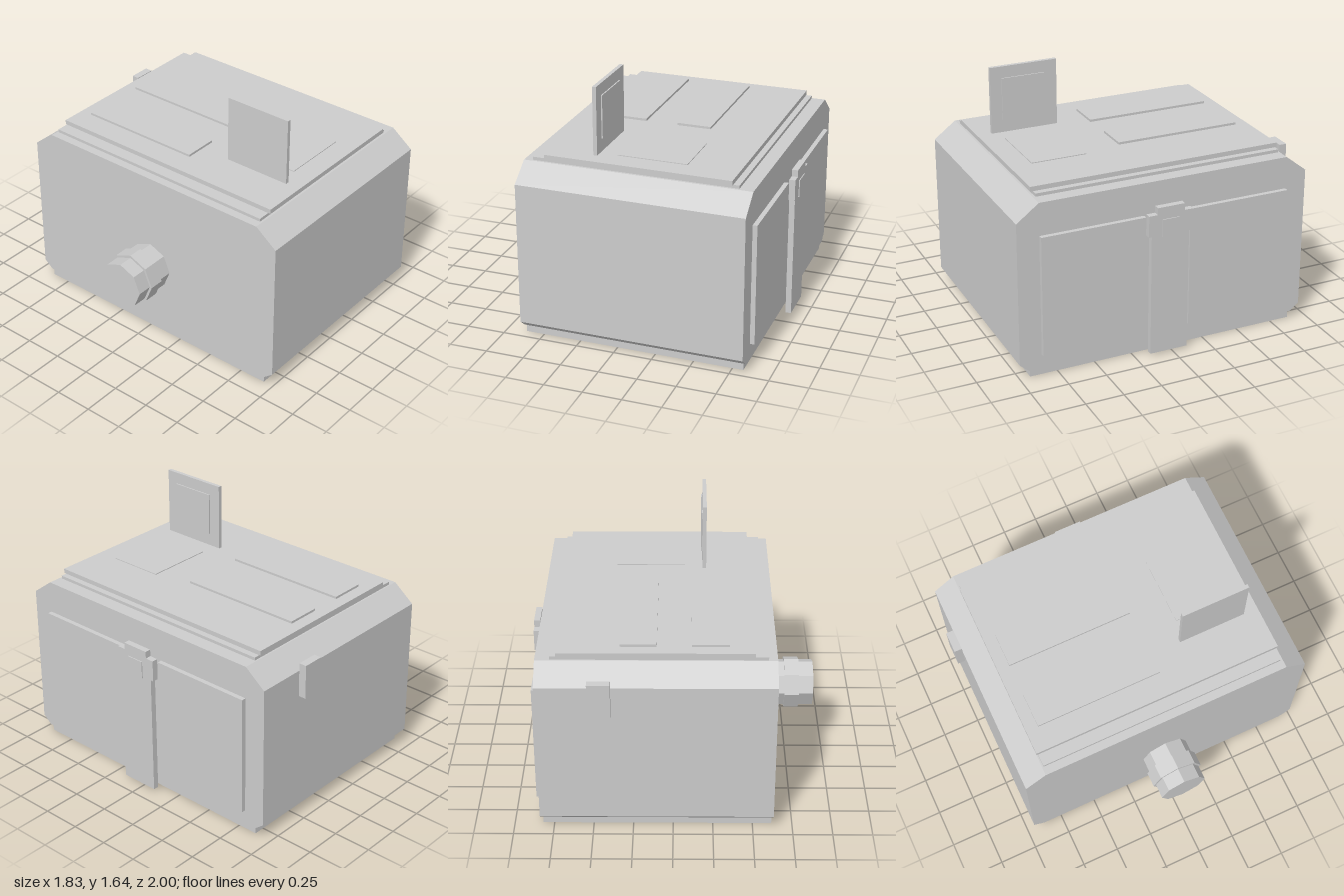
import * as THREE from 'three';

export function createModel() {
  const model = new THREE.Group();
  model.name = 'boxMachine';
  const grey = new THREE.MeshStandardMaterial({ color: 0xcccccc, flatShading: true });
  grey.name = 'light grey';

  const add = (name, geometry) => {
    const mesh = new THREE.Mesh(geometry, grey);
    mesh.name = name;
    model.add(mesh);
    return mesh;
  };
  // Box from its limits on each axis
  const box = (name, x0, x1, y0, y1, z0, z1) =>
    add(name, new THREE.BoxGeometry(x1 - x0, y1 - y0, z1 - z0))
      .position.set((x0 + x1) / 2, (y0 + y1) / 2, (z0 + z1) / 2);
  // Outline of [z, y] points extruded along x
  const sideExtrude = (name, points, x0, x1) => {
    const shape = new THREE.Shape(points.map(([z, y]) => new THREE.Vector2(-z, y)));
    const geometry = new THREE.ExtrudeGeometry(shape, { depth: x1 - x0, bevelEnabled: false });
    geometry.rotateY(Math.PI / 2);
    geometry.translate(x0, 0, 0);
    return add(name, geometry);
  };

  // Main housing with chamfered front and back edges, on a recessed base
  sideExtrude('housing', [
    [0.94, 0.05], [-0.89, 0.05], [-0.95, 0.1], [-0.95, 1.04],
    [-0.81, 1.15], [0.855, 1.15], [1, 1.04], [1, 0.1],
  ], -0.63, 0.835);
  box('base', -0.62, 0.82, 0, 0.05, -0.88, 0.93);

  // Stepped lid
  box('lidLower', -0.575, 0.745, 1.15, 1.17, -0.8, 0.84);
  box('lidUpper', -0.495, 0.706, 1.17, 1.2, -0.81, 0.857);

  // Raised pads on the lid
  box('rightPad', -0.34, -0.112, 1.2, 1.215, -0.73, 0.105);
  box('leftPad', 0.1, 0.323, 1.2, 1.215, -0.73, 0.105);
  box('frontPad', -0.07, 0.38, 1.2, 1.205, 0.35, 0.715);

  // Upright screen
  box('screen', -0.21, -0.185, 1.2, 1.64, 0.31, 0.76);
  box('screenFace', -0.185, -0.177, 1.285, 1.563, 0.39, 0.685);

  // Side panels either side of the strap
  box('frontSidePanel', 0.835, 0.865, 0.145, 0.938, 0.175, 0.857);
  box('backSidePanel', 0.835, 0.865, 0.145, 0.938, -0.808, -0.125);

  // Strap, its clasp and the clasp tab
  box('strap', 0.865, 0.902, 0.015, 0.82, -0.098, 0.155);
  sideExtrude('clasp', [
    [0.175, 0.82], [-0.122, 0.82], [-0.122, 0.96], [-0.065, 0.96],
    [-0.065, 1.005], [0.117, 1.005], [0.117, 0.96], [0.175, 0.96],
  ], 0.866, 0.906);
  box('claspTab', 0.9, 0.912, 0.81, 0.925, -0.032, 0.085);

  // Hook plate on the back
  box('backCatch', 0.375, 0.515, 0.867, 1.09, -1, -0.95);

  // Octagonal knob with a wider collar
  const knobPart = (name, radius, x0, x1) => {
    const geometry = new THREE.CylinderGeometry(radius, radius, x1 - x0, 8);
    geometry.rotateZ(Math.PI / 2);
    add(name, geometry).position.set((x0 + x1) / 2, 0.5, 0.02);
  };
  knobPart('knob', 0.155, -0.917, -0.63);
  knobPart('knobCollar', 0.172, -0.822, -0.727);

  return model;
}
